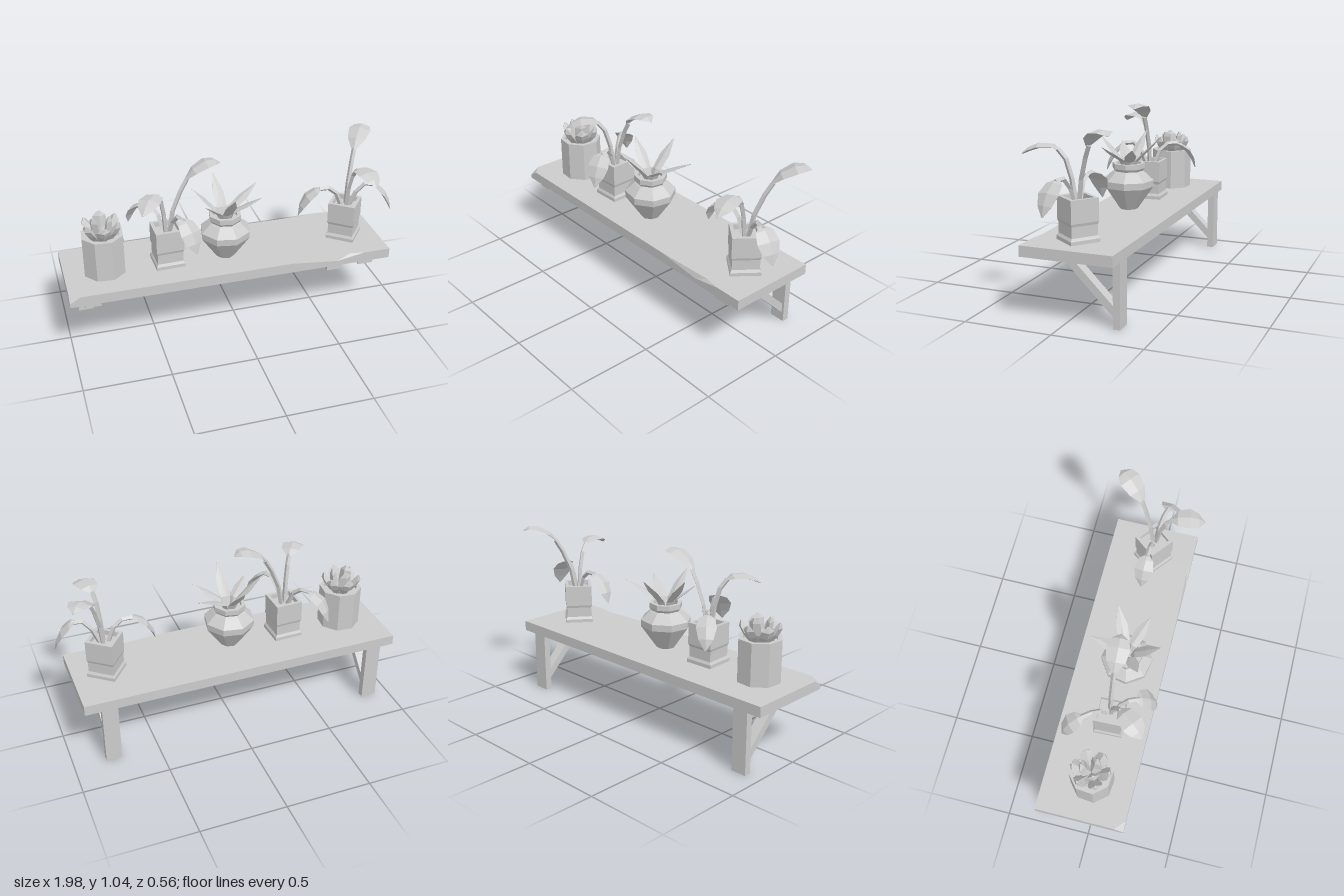
import * as THREE from 'three';

const mat = new THREE.MeshStandardMaterial({ color: 0xcccccc, flatShading: true, side: THREE.DoubleSide });
const deg = Math.PI / 180;

function add(parent, name, geometry, x = 0, y = 0, z = 0) {
  const mesh = new THREE.Mesh(geometry, mat);
  mesh.name = name;
  mesh.position.set(x, y, z);
  parent.add(mesh);
  return mesh;
}

function group(parent, name, x = 0, z = 0, turn = 0) {
  const g = new THREE.Group();
  g.name = name;
  g.position.set(x, 0, z);
  g.rotation.y = turn * deg;
  parent.add(g);
  return g;
}

// Sweeps a diamond section along stations [r, y, halfWidth, halfThickness] in the XY plane
function strip(stations) {
  const pos = [], index = [], n = stations.length;
  stations.forEach(([x, y, w, h], i) => {
    const a = stations[Math.max(i - 1, 0)], b = stations[Math.min(i + 1, n - 1)];
    const len = Math.hypot(b[0] - a[0], b[1] - a[1]);
    const nx = -(b[1] - a[1]) / len * h, ny = (b[0] - a[0]) / len * h;
    pos.push(x, y, w, x + nx, y + ny, 0, x, y, -w, x - nx, y - ny, 0);
    if (i === n - 1) return;
    for (let j = 0; j < 4; j++) {
      const p = i * 4 + j, q = i * 4 + (j + 1) % 4;
      index.push(p, p + 4, q, q, p + 4, q + 4);
    }
  });
  const e = (n - 1) * 4;
  index.push(0, 1, 2, 0, 2, 3, e, e + 2, e + 1, e, e + 3, e + 2);
  const g = new THREE.BufferGeometry();
  g.setAttribute('position', new THREE.Float32BufferAttribute(pos, 3));
  g.setIndex(index);
  g.computeVertexNormals();
  return g;
}

// Flat polygons, each fanned from its first corner
function polygons(corners, faces) {
  const g = new THREE.BufferGeometry();
  const index = [];
  for (const f of faces) for (let i = 1; i < f.length - 1; i++) index.push(f[0], f[i], f[i + 1]);
  g.setAttribute('position', new THREE.Float32BufferAttribute(corners.flat(), 3));
  g.setIndex(index);
  const flat = g.toNonIndexed();
  flat.computeVertexNormals();
  return flat;
}

// Faceted pot from a [radius, y] profile, with soil inside
function pot(parent, profile, sides, start, soilRadius, soilY) {
  const pts = profile.map(([r, y]) => new THREE.Vector2(r, y));
  add(parent, 'pot', new THREE.LatheGeometry(pts, sides, start));
  const soil = new THREE.CylinderGeometry(soilRadius, soilRadius, 0.01, sides, 1, false, start);
  add(parent, 'soil', soil, 0, soilY, 0);
}

// Board with a chipped corner and a long chip in the front edge
function shelf(parent) {
  const L = -1, R = 0.91, F = 0.22, B = -0.3, T = 0.42, U = 0.36;
  const corners = [
    [L, U, F], [R, U, F], [R, U, B], [L, U, B],
    [R, T, F], [R, T, B], [L, T, B],
    [L, T, 0.165], [-0.94, T, F], [L, 0.385, F],
    [0.3, T, F], [0.58, 0.39, F], [0.75, T, F], [0.66, T, 0.205],
  ];
  add(parent, 'shelf', polygons(corners, [
    [13, 12, 4, 5, 6, 7, 8, 10],
    [11, 10, 8, 9, 0, 1, 4, 12],
    [10, 11, 13], [11, 12, 13], [7, 9, 8],
    [1, 2, 5, 4], [2, 3, 6, 5], [3, 0, 9, 7, 6], [0, 3, 2, 1],
  ]));
}

function bracket(parent, x) {
  const g = group(parent, 'bracket', x);
  add(g, 'wallPost', new THREE.BoxGeometry(0.092, 0.36, 0.04), 0, 0.18, -0.28);
  add(g, 'topArm', new THREE.BoxGeometry(0.092, 0.03, 0.46), 0, 0.345, -0.03);
  const s = new THREE.Shape([[-0.015, 0.33], [0.045, 0.33], [0.26, 0.115], [0.26, 0.055]]
    .map(([z, y]) => new THREE.Vector2(z, y)));
  const brace = new THREE.ExtrudeGeometry(s, { depth: 0.064, bevelEnabled: false });
  brace.translate(0, 0, -0.032).rotateY(Math.PI / 2);
  add(g, 'brace', brace);
}

// Square pot with four broad leaves on curved stems
function leafyPlant(parent, x, z, turn) {
  const g = group(parent, 'leafyPlant', x, z, turn);
  const square = [[0, 0.42], [0.085, 0.42], [0.085, 0.44], [0.076, 0.455], [0.076, 0.515],
    [0.081, 0.53], [0.081, 0.655], [0.062, 0.655], [0.062, 0.61]];
  pot(g, square.map(([r, y]) => [r * Math.SQRT2, y]), 4, Math.PI / 4, 0.062 * Math.SQRT2, 0.62);
  const leaves = [
    { turn: 0, width: 0.066, stem: [[0.015, 0.61], [0.04, 0.75], [0.09, 0.87], [0.13, 0.94]],
      blade: [[0.12, 0.935], [0.17, 0.985], [0.24, 1.02], [0.29, 1.025], [0.325, 1.01]] },
    { turn: 126, width: 0.056, stem: [[0.02, 0.61], [0.06, 0.71], [0.11, 0.75], [0.17, 0.75]],
      blade: [[0.16, 0.752], [0.19, 0.74], [0.24, 0.705], [0.275, 0.65], [0.295, 0.59]] },
    { turn: 231, width: 0.064, stem: [[0.01, 0.61], [0.03, 0.75], [0.06, 0.85], [0.1, 0.9]],
      blade: [[0.09, 0.895], [0.13, 0.915], [0.2, 0.915], [0.25, 0.895], [0.29, 0.87]] },
    { turn: -67, width: 0.066, stem: [[0.02, 0.61], [0.06, 0.71], [0.11, 0.765], [0.17, 0.76]],
      blade: [[0.15, 0.768], [0.18, 0.75], [0.225, 0.705], [0.255, 0.65], [0.275, 0.595]] },
  ];
  const spread = [0.2, 0.8, 1, 0.72, 0.06];
  for (const leaf of leaves) {
    const stem = strip(leaf.stem.map(([r, y]) => [r, y, 0.014, 0.014]));
    const blade = strip(leaf.blade.map(([r, y], i) => [r, y, leaf.width * spread[i], 0.012 * spread[i] + 0.002]));
    add(g, 'stem', stem).rotation.y = leaf.turn * deg;
    add(g, 'leaf', blade).rotation.y = leaf.turn * deg;
  }
}

// Round-bellied pot with spiky blades
function spikyPlant(parent, x, z) {
  const g = group(parent, 'spikyPlant', x, z);
  pot(g, [[0, 0.42], [0.055, 0.42], [0.148, 0.555], [0.15, 0.595], [0.1, 0.64], [0.086, 0.65],
    [0.097, 0.665], [0.097, 0.695], [0.075, 0.695], [0.075, 0.65]], 8, 0.2, 0.076, 0.66);
  const blades = [[95, 0.2, 0.86], [26, 0.25, 0.81], [-25, 0.21, 0.81], [-88, 0.19, 0.865],
    [168, 0.19, 0.86], [215, 0.17, 0.8]];
  for (const [turn, r, y] of blades) {
    const blade = strip([[0.02, 0.64, 0.018, 0.008], [0.05, 0.71, 0.03, 0.009],
      [0.03 + r * 0.45, 0.7 + (y - 0.7) * 0.5, 0.034, 0.007], [r, y, 0.002, 0.002]]);
    add(g, 'blade', blade).rotation.y = turn * deg;
  }
}

// Tall eight-sided pot with a rosette of thick leaves
function succulent(parent, x, z) {
  const g = group(parent, 'succulent', x, z);
  pot(g, [[0, 0.42], [0.125, 0.42], [0.125, 0.665], [0.1, 0.665], [0.1, 0.62]], 8, 0.3, 0.101, 0.635);
  const ring = (count, offset, inner, outer, top) => {
    for (let i = 0; i < count; i++) {
      const mid = (inner + outer) / 2;
      const leaf = strip([[inner, 0.63, 0.022, 0.018], [mid + 0.01, 0.69, 0.04, 0.022],
        [outer, top - 0.025, 0.036, 0.018], [outer + 0.004, top, 0.008, 0.006]]);
      add(g, 'thickLeaf', leaf).rotation.y = (offset + i * 360 / count) * deg;
    }
  };
  ring(6, 30, 0.035, 0.1, 0.75);
  ring(3, 90, 0.012, 0.05, 0.78);
}

export function createModel() {
  const model = new THREE.Group();
  model.name = 'plantShelf';
  shelf(model);
  for (const x of [-0.87, 0.768]) bracket(model, x);
  succulent(model, -0.765, -0.02);
  leafyPlant(model, -0.395, -0.012, 2);
  spikyPlant(model, -0.05, 0);
  leafyPlant(model, 0.708, -0.022, 52);
  return model;
}
